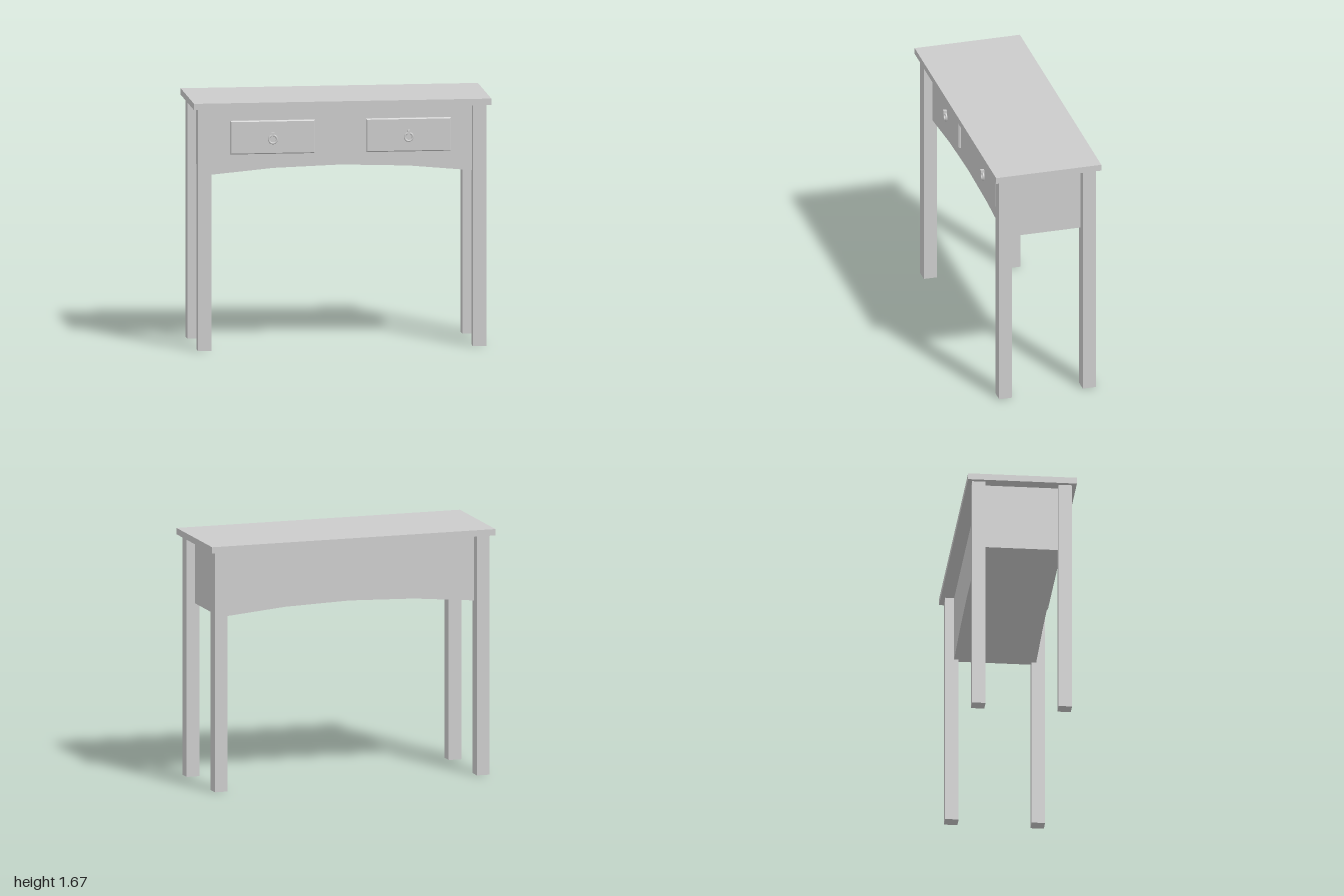
import * as THREE from 'three';

const mat = new THREE.MeshStandardMaterial({ color: 0xcccccc });
const flatMat = new THREE.MeshStandardMaterial({ color: 0xcccccc, flatShading: true });

function add(parent, name, geometry, x, y, z, material = flatMat) {
  const mesh = new THREE.Mesh(geometry, material);
  mesh.name = name;
  mesh.position.set(x, y, z);
  parent.add(mesh);
  return mesh;
}

// Rectangular drawer front with a narrow chamfer around its face
function drawerFront(width, height, depth, bevel) {
  const w = width / 2 - bevel, h = height / 2 - bevel;
  const shape = new THREE.Shape([[-w, -h], [w, -h], [w, h], [-w, h]].map(p => new THREE.Vector2(...p)));
  return new THREE.ExtrudeGeometry(shape, {
    depth: depth - bevel, bevelSize: bevel, bevelThickness: bevel, bevelSegments: 1,
  });
}

export function createModel() {
  const table = new THREE.Group();
  table.name = 'consoleTable';

  // Table top
  add(table, 'tableTop', new THREE.BoxGeometry(2, 0.043, 0.73), 0, 1.651, 0);

  // Four square legs
  for (const sx of [-1, 1]) {
    for (const sz of [-1, 1]) {
      const name = (sz > 0 ? 'front' : 'back') + (sx > 0 ? 'Left' : 'Right') + 'Leg';
      add(table, name, new THREE.BoxGeometry(0.09, 1.63, 0.09), sx * 0.925, 0.815, sz * 0.29);
    }
  }

  // Solid case with a faceted arch along the bottom
  const outline = [[-0.91, 1.176], [-0.455, 1.218], [0, 1.233], [0.455, 1.218], [0.91, 1.176], [0.91, 1.63], [-0.91, 1.63]];
  const caseShape = new THREE.Shape(outline.map(p => new THREE.Vector2(...p)));
  add(table, 'case', new THREE.ExtrudeGeometry(caseShape, { depth: 0.55, bevelEnabled: false }), 0, 0, -0.275);

  // Drawers with ring pulls
  for (const [side, x] of [['right', -0.462], ['left', 0.452]]) {
    const drawer = new THREE.Group();
    drawer.name = side + 'Drawer';
    drawer.position.set(x, 1.428, 0.275);
    table.add(drawer);
    add(drawer, 'drawerFront', drawerFront(0.57, 0.226, 0.02, 0.007), 0, 0, 0);
    add(drawer, 'pullMount', new THREE.BoxGeometry(0.02, 0.024, 0.026), 0, 0.022, 0.031);
    add(drawer, 'pullRing', new THREE.TorusGeometry(0.027, 0.007, 10, 28), 0, -0.013, 0.029, mat);
  }
  return table;
}
